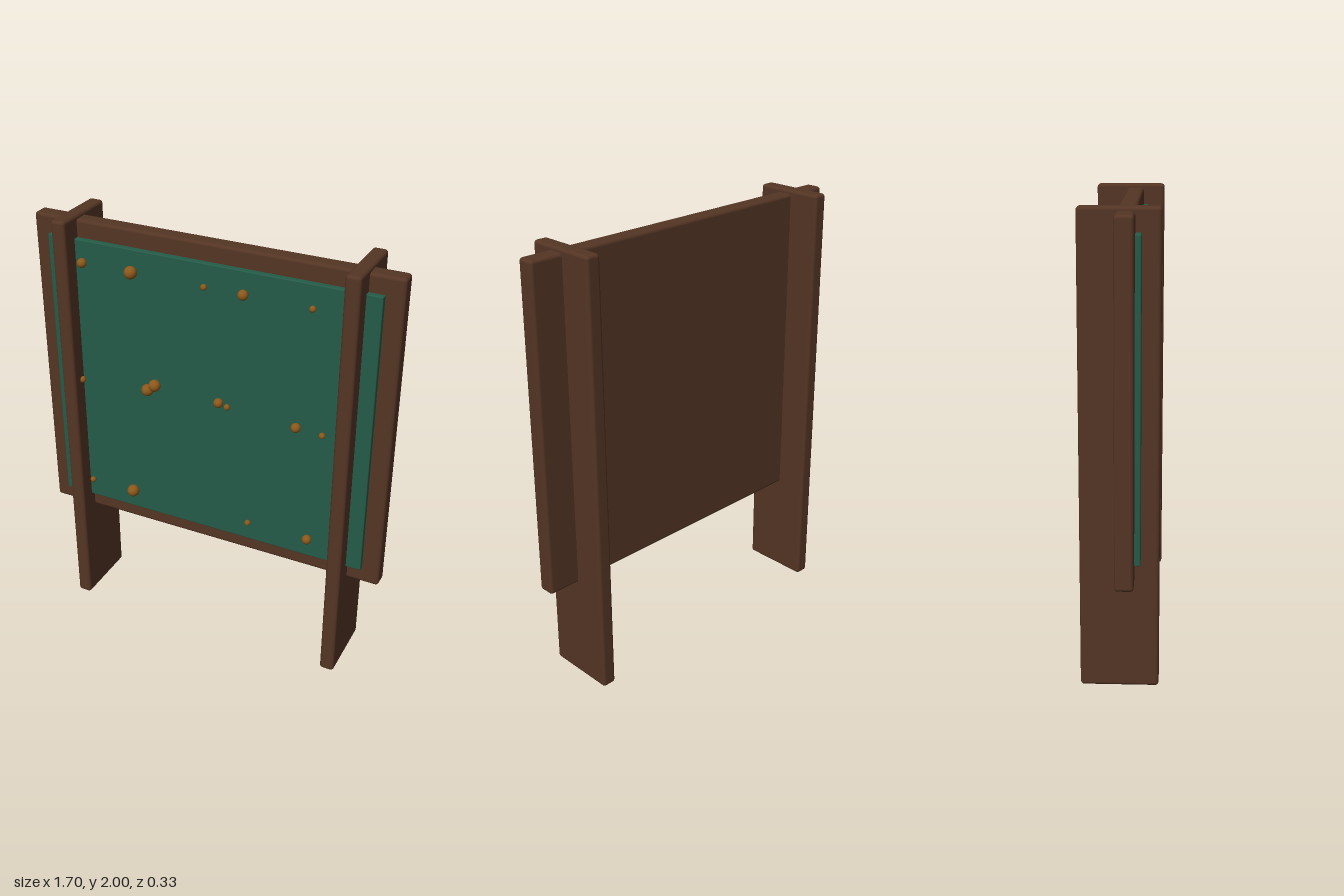
import * as THREE from 'three';
import { RoundedBoxGeometry } from 'three/addons/geometries/RoundedBoxGeometry.js';

export function createModel() {
  const group = new THREE.Group();
  const material = (name, color) => {
    const m = new THREE.MeshStandardMaterial({ color });
    m.name = name;
    return m;
  };
  const wood = material('dark wood', 0x543524);
  const felt = material('green felt', 0x255b48);
  const brass = material('brass', 0x8b581b);

  const add = (name, geometry, mat, x, y, z) => {
    const mesh = new THREE.Mesh(geometry, mat);
    mesh.name = name;
    mesh.position.set(x, y, z);
    group.add(mesh);
  };

  // Backing board and the felt panel on its front
  add('board', new RoundedBoxGeometry(1.7, 1.49, 0.078, 2, 0.015), wood, 0, 1.237, 0.024);
  add('feltPanel', new RoundedBoxGeometry(1.54, 1.33, 0.04, 2, 0.005), felt, 0, 1.237, 0.068);

  // Deep plank posts passing through the board
  for (const [name, side] of [['leftPost', 1], ['rightPost', -1]]) {
    add(name, new RoundedBoxGeometry(0.068, 2, 0.33, 2, 0.015), wood, side * 0.667, 1, 0);
  }

  // Round pin heads: x, y, radius
  const pins = [
    [-0.593, 1.803, 0.022], [-0.35, 1.803, 0.029], [0, 1.803, 0.014],
    [0.18, 1.803, 0.023], [0.488, 1.803, 0.014],
    [-0.63, 1.22, 0.016], [-0.286, 1.247, 0.028], [-0.249, 1.278, 0.028],
    [0.069, 1.268, 0.022], [0.111, 1.257, 0.014],
    [0.437, 1.238, 0.022], [0.558, 1.23, 0.014],
    [-0.608, 0.672, 0.014], [-0.384, 0.672, 0.029],
    [0.22, 0.672, 0.014], [0.513, 0.672, 0.022],
  ];
  for (const [x, y, r] of pins) {
    add('pinHead', new THREE.SphereGeometry(r, 16, 10), brass, x, y, 0.104);
  }

  return group;
}
